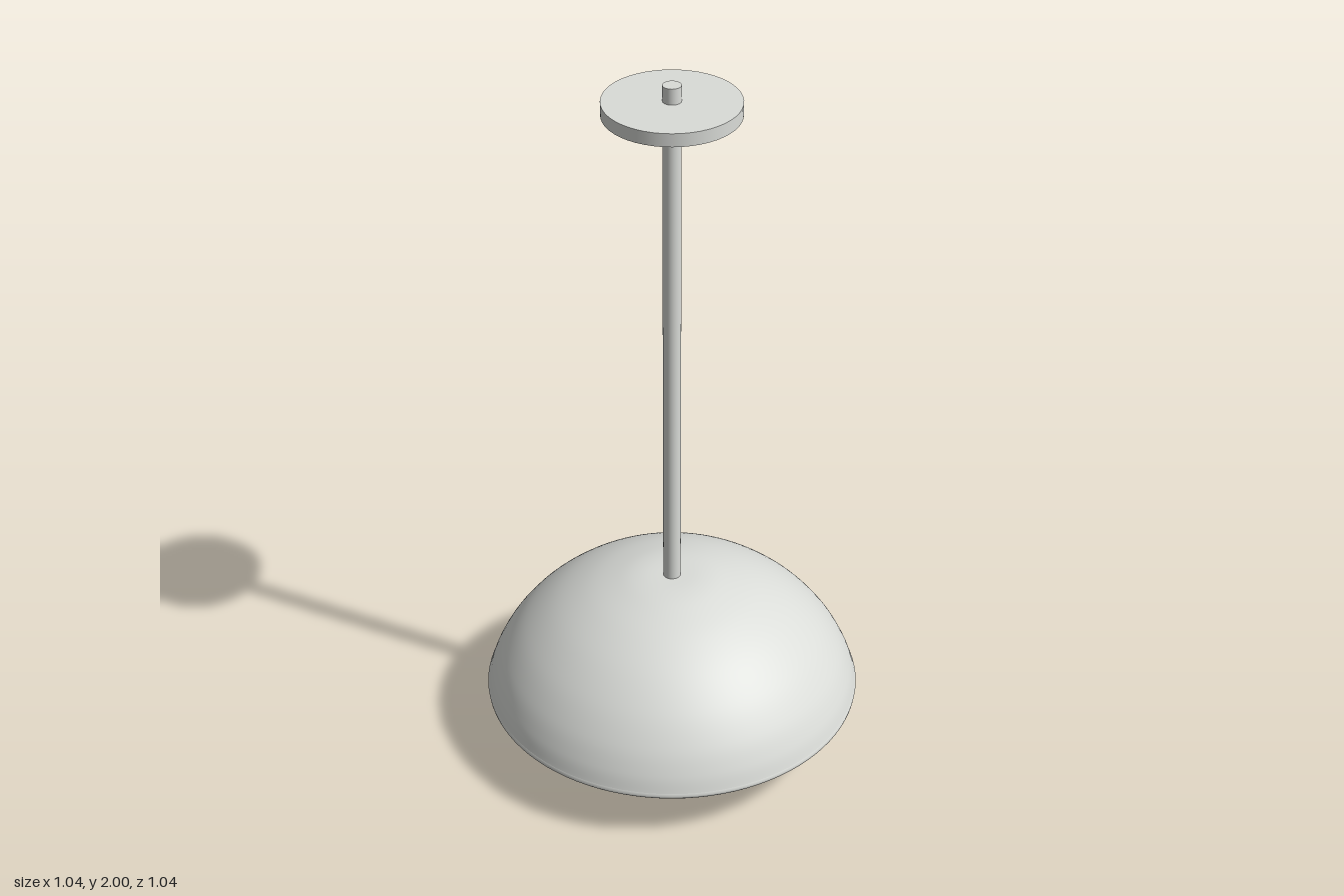
import * as THREE from 'three';

export function createModel() {
  const model = new THREE.Group();
  model.name = 'pendantLamp';

  const metal = new THREE.MeshStandardMaterial({ name: 'pale grey metal', color: 0xdadcd8 });
  const glass = new THREE.MeshStandardMaterial({ name: 'cream glass', color: 0xe0d6c0 });
  const black = new THREE.MeshStandardMaterial({ name: 'black knob', color: 0x222222 });

  const add = (name, geometry, material, x = 0, y = 0, z = 0) => {
    const mesh = new THREE.Mesh(geometry, material);
    mesh.name = name;
    mesh.position.set(x, y, z);
    model.add(mesh);
    return mesh;
  };
  // Upright cylinder between two heights
  const post = (name, radius, y0, y1, material) =>
    add(name, new THREE.CylinderGeometry(radius, radius, y1 - y0, 48), material, 0, (y0 + y1) / 2);

  // Ceiling canopy, hanging rod, lower stem and knob
  post('canopy', 0.177, 1.921, 1.957, metal);
  post('rod', 0.024, 0.495, 2, metal);
  post('lowerStem', 0.019, 0.07, 0.25, metal);
  post('knob', 0.031, 0, 0.077, black);

  // Domed shade: outer and inner skins
  const skin = (points) =>
    new THREE.LatheGeometry(
      new THREE.SplineCurve(points.map(([x, y]) => new THREE.Vector2(x, y))).getPoints(48), 96);
  add('shadeOuter', skin([
    [0.518, 0.166], [0.502, 0.212], [0.468, 0.275], [0.41, 0.347], [0.33, 0.415],
    [0.24, 0.466], [0.15, 0.498], [0.08, 0.511], [0, 0.512],
  ]), metal);
  add('shadeInner', skin([
    [0, 0.492], [0.08, 0.491], [0.144, 0.479], [0.231, 0.448],
    [0.318, 0.399], [0.395, 0.333], [0.45, 0.265], [0.483, 0.205], [0.497, 0.16],
  ]), metal);

  // Rolled rim closing the gap between the skins
  const rim = [[0.497, 0.16], [0.498, 0.152], [0.503, 0.148], [0.515, 0.148], [0.52, 0.153], [0.521, 0.16], [0.518, 0.166]];
  add('shadeRim', new THREE.LatheGeometry(rim.map(([x, y]) => new THREE.Vector2(x, y)), 96), metal);

  // Central globe with a ring of six smaller bulbs
  add('centreGlobe', new THREE.SphereGeometry(0.088, 40, 24), glass, 0, 0.253, 0);
  for (let i = 0; i < 6; i++) {
    const a = (i * Math.PI) / 3;
    add('bulb', new THREE.SphereGeometry(0.063, 32, 20), glass, 0.255 * Math.cos(a), 0.228, 0.255 * Math.sin(a));
  }
  return model;
}
